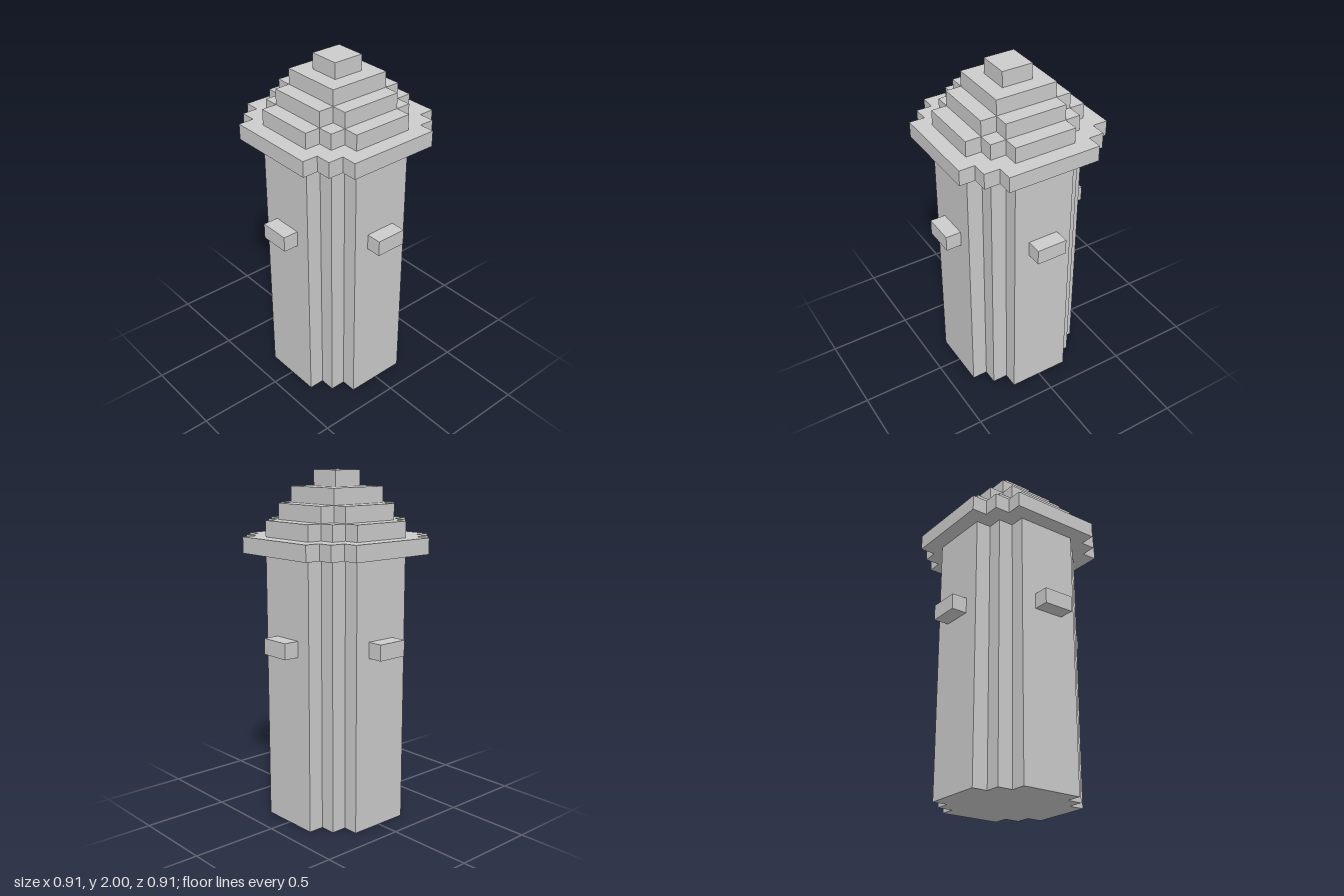
import * as THREE from 'three';

const U = 1 / 11; // one block
const material = new THREE.MeshStandardMaterial({ color: 0xcccccc, flatShading: true });

// Prism with stair-stepped corners; steps are [halfX, halfZ] pairs in blocks for one quadrant.
function steppedTier(name, steps, bottom, top) {
  const corner = [];
  steps.forEach(([x, z], i) => {
    if (i > 0) corner.push([x, steps[i - 1][1]]);
    corner.push([x, z]);
  });
  const outline = [];
  for (let q = 0; q < 4; q++) {
    for (const [x, y] of corner) {
      outline.push(new THREE.Vector2(x * U, y * U).rotateAround(new THREE.Vector2(), q * Math.PI / 2));
    }
  }
  const geometry = new THREE.ExtrudeGeometry(new THREE.Shape(outline), {
    depth: (top - bottom) * U, bevelEnabled: false,
  });
  geometry.rotateX(-Math.PI / 2);
  geometry.translate(0, bottom * U, 0);
  const mesh = new THREE.Mesh(geometry, material);
  mesh.name = name;
  return mesh;
}

export function createModel() {
  const model = new THREE.Group();
  model.name = 'tower';

  // Shaft, overhanging eaves and shrinking roof tiers
  model.add(
    steppedTier('shaft', [[4, 2], [3, 3], [2, 4]], 0, 17),
    steppedTier('eaves', [[5, 3], [4, 4], [3, 5]], 17, 18),
    steppedTier('lowerRoofTier', [[4, 2], [3, 3], [2, 4]], 18, 19),
    steppedTier('middleRoofTier', [[3, 2], [2, 3]], 19, 20),
    steppedTier('upperRoofTier', [[2, 2]], 20, 21),
    steppedTier('roofCap', [[1, 1]], 21, 22),
  );

  // One ledge projecting from each face
  ['front', 'left', 'back', 'right'].forEach((side, i) => {
    const geometry = new THREE.BoxGeometry(2 * U, U, U);
    geometry.translate(0, 11.5 * U, 4.5 * U);
    const ledge = new THREE.Mesh(geometry, material);
    ledge.rotation.y = i * Math.PI / 2;
    ledge.name = side + 'Ledge';
    model.add(ledge);
  });

  return model;
}
